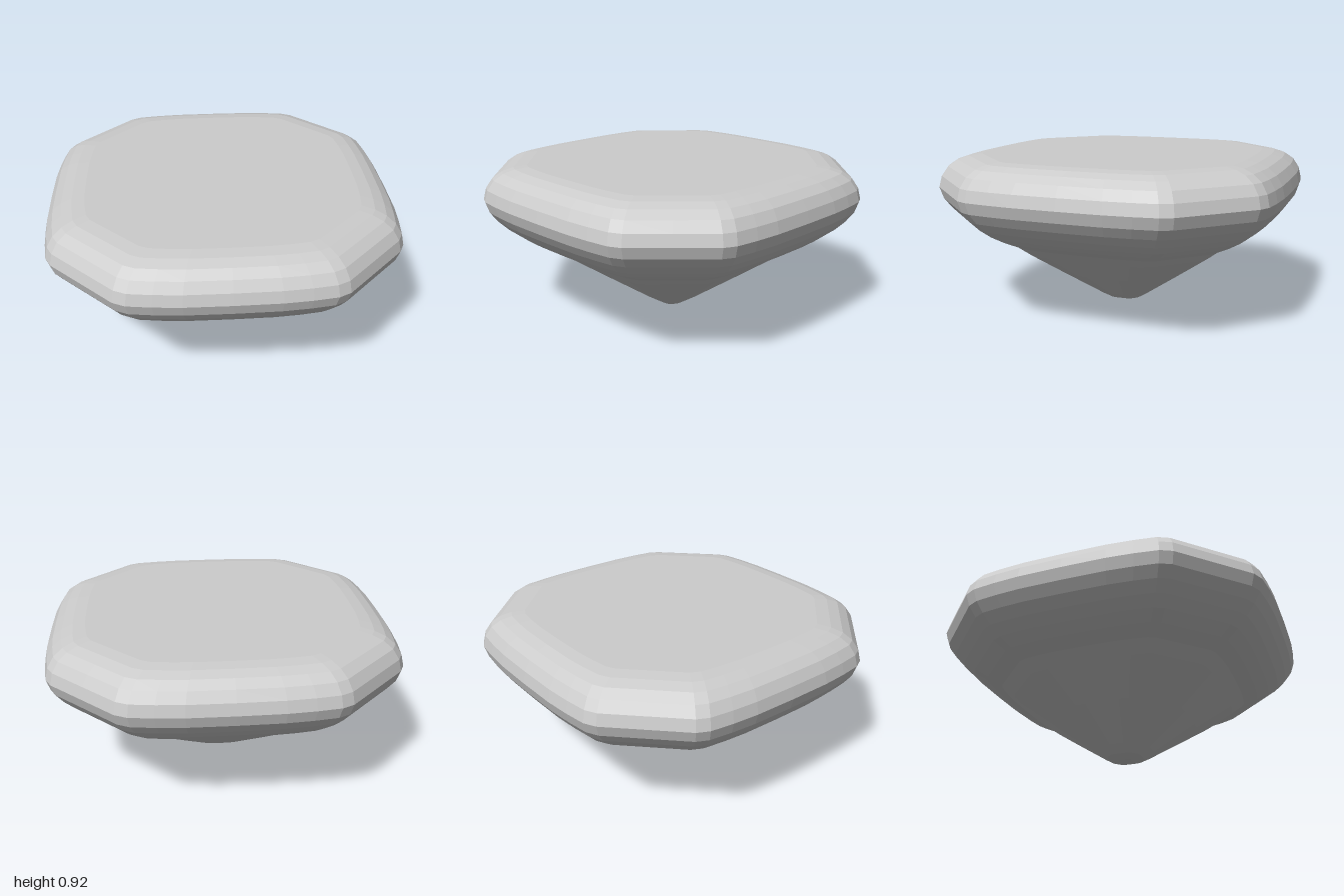
import * as THREE from 'three';

// Half widths and heights from the tip up to the flat top
const profile = [
  [0, 0], [0.04, 0.003], [0.1, 0.02], [0.16, 0.058], [0.28, 0.142], [0.4, 0.226],
  [0.52, 0.311], [0.61, 0.375], [0.68, 0.43], [0.76, 0.47], [0.83, 0.512], [0.89, 0.56],
  [0.94, 0.613], [0.98, 0.67], [1, 0.735], [0.985, 0.8], [0.95, 0.855], [0.9, 0.892],
  [0.84, 0.913], [0.77, 0.922], [0, 0.922],
];

// One eighth of the chamfered square outline: from mid side to mid corner
const eighth = [[1, 0], [0.997, 0.25], [0.985, 0.4], [0.967, 0.53], [0.935, 0.595], [0.765, 0.765]];

// Mirror the eighth into a quarter, then turn it four times
function outline() {
  const quarter = [...eighth, ...eighth.slice(1, -1).reverse().map(([x, z]) => [z, x])];
  const ring = [];
  for (let k = 0; k < 4; k++) {
    for (let [x, z] of quarter) {
      for (let t = 0; t < k; t++) [x, z] = [-z, x];
      ring.push([x, z]);
    }
  }
  return ring;
}

// Loft the outline along the profile
function loft(ring) {
  const n = ring.length;
  const positions = [];
  const indices = [];
  for (const [r, y] of profile) {
    for (const [x, z] of ring) positions.push(x * r, y, z * r);
  }
  const last = profile.length - 2;
  for (let i = 0; i <= last; i++) {
    for (let j = 0; j < n; j++) {
      const a = i * n + j;
      const b = i * n + ((j + 1) % n);
      const c = a + n;
      const d = b + n;
      if (i < last) indices.push(a, c, d);
      if (i > 0) indices.push(a, d, b);
      if (i === last) continue;
    }
  }
  const geometry = new THREE.BufferGeometry();
  geometry.setAttribute('position', new THREE.Float32BufferAttribute(positions, 3));
  geometry.setIndex(indices);
  const faceted = geometry.toNonIndexed();
  faceted.computeVertexNormals();
  return faceted;
}

export function createModel() {
  const stone = new THREE.MeshStandardMaterial({ color: 0xcccccc });
  stone.name = 'pale grey stone';
  stone.flatShading = true;

  const gem = new THREE.Mesh(loft(outline()), stone);
  gem.name = 'cutGem';

  const group = new THREE.Group();
  group.name = 'gemstone';
  group.add(gem);
  return group;
}
